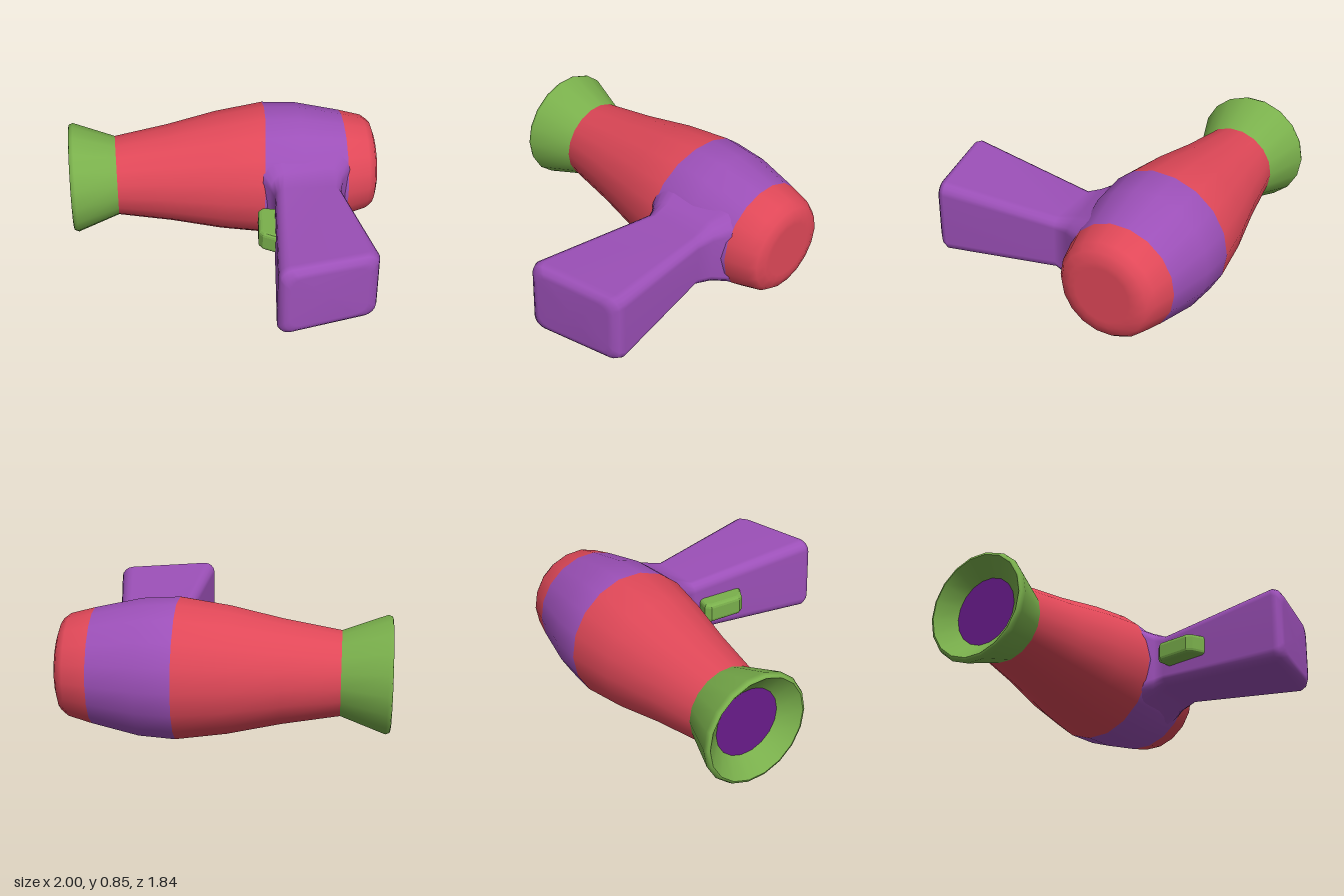
import * as THREE from 'three';

const AXIS_Y = 0.435, AXIS_Z = -0.495, SIDES = 18;

const mat = (name, color, side = THREE.FrontSide) => {
  const m = new THREE.MeshStandardMaterial({ color, side });
  m.name = name;
  return m;
};

// Turned form along the x axis; profile points are [x, radius]
function turned(profile) {
  const g = new THREE.LatheGeometry(profile.map(([x, r]) => new THREE.Vector2(r, x)), SIDES);
  g.rotateZ(-Math.PI / 2);
  g.translate(0, AXIS_Y, AXIS_Z);
  return g;
}

// Keep only the bands from..to of a turned form, sharing its smooth normals
function bands(geometry, pointCount, from, to) {
  const per = pointCount - 1, src = geometry.index.array, index = [];
  for (let i = 0; i < SIDES; i++) {
    for (let j = from; j < to; j++) {
      const at = (i * per + j) * 6;
      index.push(...src.slice(at, at + 6));
    }
  }
  const g = geometry.clone();
  g.setIndex(index);
  return g;
}

// Counter-clockwise rounded rectangle
function roundedRing(x0, x1, y0, y1, r, steps = 4) {
  const corners = [[x1 - r, y1 - r], [x0 + r, y1 - r], [x0 + r, y0 + r], [x1 - r, y0 + r]];
  return corners.flatMap(([cx, cy], c) => Array.from({ length: steps + 1 }, (_, k) => {
    const a = (c + k / steps) * Math.PI / 2;
    return [cx + r * Math.cos(a), cy + r * Math.sin(a)];
  }));
}

function handleGeometry() {
  // Root ring lies on the barrel surface, the next one blends to the neck
  const root = roundedRing(0.22, 0.8, 0.155, 0.715, 0.12).map(([x, y]) => {
    const radius = THREE.MathUtils.mapLinear(x, 0.24, 0.8, 0.428, 0.35);
    return [x, y, AXIS_Z + Math.sqrt(Math.max(0, radius ** 2 - (y - AXIS_Y) ** 2)) - 0.005];
  });
  const neck = roundedRing(0.287, 0.71, 0.26, 0.615, 0.06).map(([x, y]) => [x, y, 0.01]);
  const blend = roundedRing(0.265, 0.735, 0.212, 0.662, 0.09)
    .map(([x, y], i) => [x, y, (root[i][2] + neck[i][2]) / 2]);

  // Slanted grip end with a rounded rim
  const end = (inset, z) => roundedRing(0.198 + inset, 0.82 - inset, 0.187 + inset, 0.69 - inset, 0.07)
    .map(([x, y]) => {
      const u = (x - 0.2) / 0.62;
      return [x, AXIS_Y + (y - AXIS_Y) * (1 - 0.06 * u), z - 0.125 * u];
    });
  const rings = [root, blend, neck, end(0, 0.865), end(0.012, 0.9), end(0.04, 0.922), end(0.07, 0.928)];

  const n = root.length, pos = rings.flat(2), index = [];
  for (let i = 0; i < rings.length - 1; i++) {
    for (let k = 0; k < n; k++) {
      const a = i * n + k, d = i * n + (k + 1) % n;
      index.push(a, d, d + n, a, d + n, a + n);
    }
  }
  const last = (rings.length - 1) * n, centre = rings.length * n;
  pos.push(0.509, AXIS_Y, 0.866);
  for (let k = 0; k < n; k++) index.push(centre, last + k, last + (k + 1) % n);

  const g = new THREE.BufferGeometry();
  g.setAttribute('position', new THREE.Float32BufferAttribute(pos, 3));
  g.setIndex(index);
  g.computeVertexNormals();
  return g;
}

export function createModel() {
  const group = new THREE.Group();
  const red = mat('red shell', 0xe04858);
  const purple = mat('purple shell', 0x9c50b8);
  const green = mat('green trim', 0x7ab04c);
  const dark = mat('dark purple outlet', 0x6a1c8c);
  const add = (name, geometry, material) => {
    const m = new THREE.Mesh(geometry, material);
    m.name = name;
    group.add(m);
  };

  // Barrel: one smooth form split into three colours
  const profile = [
    [-0.7, 0.26], [-0.35, 0.32], [-0.03, 0.39], [0.28, 0.434], [0.5, 0.42], [0.79, 0.355],
    [0.935, 0.315], [0.98, 0.28], [1, 0.22], [1, 0.18], [1, 0],
  ];
  const barrel = turned(profile);
  const p = barrel.attributes.position;
  // The colour seam bows forward around the handle root
  for (let i = 0; i < p.count; i++) {
    if (Math.abs(p.getX(i) - 0.28) < 0.01) {
      p.setX(i, 0.28 - 0.045 * Math.max(0, (p.getZ(i) - AXIS_Z) / 0.434));
    }
  }
  add('barrelFront', bands(barrel, profile.length, 0, 3), red);
  add('barrelBand', bands(barrel, profile.length, 3, 5), purple);
  add('rearCap', bands(barrel, profile.length, 5, 10), red);

  // Flared nozzle with a funnel inside
  add('nozzle', turned([[-1, 0.335], [-0.995, 0.35], [-0.97, 0.36], [-0.7, 0.26]]), green);
  add('nozzleFunnel', turned([[-0.9, 0.22], [-1, 0.335]]), green);
  add('airOutlet', turned([[-0.9, 0], [-0.9, 0.22]]), dark);

  add('handle', handleGeometry(), purple);

  // Trigger: bevelled side profile, drawn in x and -z, extruded upward
  const bevel = 0.025;
  const outline = [[0.33, 0.08], [0.215, 0.055], [0.198, 0.07], [0.18, 0.262], [0.195, 0.288], [0.33, 0.37]];
  const trigger = new THREE.ExtrudeGeometry(
    new THREE.Shape(outline.map(([x, z]) => new THREE.Vector2(x, -z))),
    { depth: 0.08, bevelEnabled: true, bevelSize: bevel, bevelThickness: bevel, bevelSegments: 3 },
  );
  trigger.rotateX(-Math.PI / 2);
  trigger.translate(0, AXIS_Y - 0.04, 0);
  add('trigger', trigger, green);

  return group;
}
